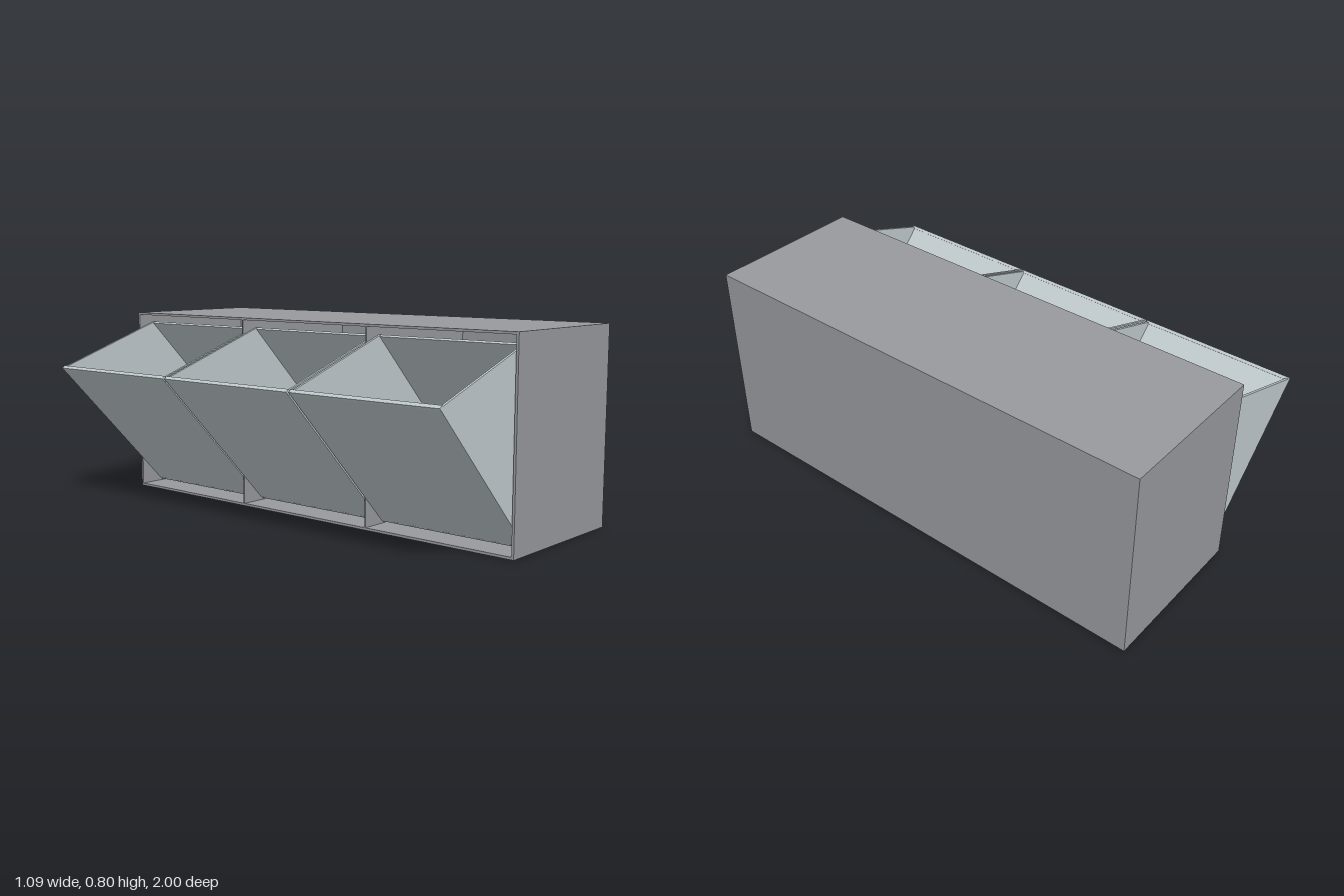
import * as THREE from 'three';

const cabinetGrey = new THREE.MeshStandardMaterial({ color: 0x97999e });
cabinetGrey.name = 'cabinet grey';
const binGrey = new THREE.MeshStandardMaterial({ color: 0xc0cacd });
binGrey.name = 'pale bin grey';

// Box given by its minimum and maximum corners
function panel(name, min, max) {
  const size = max.map((v, i) => v - min[i]);
  const mesh = new THREE.Mesh(new THREE.BoxGeometry(...size), cabinetGrey);
  mesh.position.set(...min.map((v, i) => v + size[i] / 2));
  mesh.name = name;
  return mesh;
}

// Outline in x and y, extruded from z0 to z1
function prism(name, points, z0, z1) {
  const shape = new THREE.Shape(points.map(p => new THREE.Vector2(...p)));
  const geometry = new THREE.ExtrudeGeometry(shape, { depth: z1 - z0, bevelEnabled: false });
  const mesh = new THREE.Mesh(geometry, binGrey);
  mesh.position.z = z0;
  mesh.name = name;
  return mesh;
}

// Flat board from p to q, thickened to the right of that direction
function board(name, p, q, thickness, z0, z1) {
  const length = Math.hypot(q[0] - p[0], q[1] - p[1]);
  const nx = (q[1] - p[1]) / length * thickness;
  const ny = -(q[0] - p[0]) / length * thickness;
  return prism(name, [p, q, [q[0] + nx, q[1] + ny], [p[0] + nx, p[1] + ny]], z0, z1);
}

function makeCabinet() {
  const cabinet = new THREE.Group();
  cabinet.name = 'cabinet';
  const left = -0.11, right = 0.545, height = 0.8, t = 0.01;
  cabinet.add(
    panel('cabinetTop', [left, height - t, -1], [right, height, 1]),
    panel('cabinetBottom', [left, 0, -1], [right, t, 1]),
    panel('cabinetBack', [right - t, t, -1], [right, height - t, 1]),
    panel('endPanel', [left, t, -1], [right - t, height - t, -1 + t]),
    panel('endPanel', [left, t, 1 - t], [right - t, height - t, 1])
  );
  // Partitions between the three compartments
  for (const z of [-0.331, 0.331]) {
    cabinet.add(panel('partition', [left, t, z - 0.003], [right - t, height - t, z + 0.003]));
  }
  return cabinet;
}

// Open-topped bin, tipped out of the cabinet about its lower edge
function makeBin() {
  const bin = new THREE.Group();
  bin.name = 'tiltingBin';
  const half = 0.325, t = 0.01;
  const hinge = [-0.005, 0.018], tip = [-0.541, 0.572];
  const backLow = [0.345, 0.368], backHigh = [-0.036, 0.756];
  const rim = [-0.534, 0.584];
  bin.add(
    board('binDoor', hinge, tip, t, -half, half),
    board('binFloor', backLow, hinge, t, -half + t, half - t),
    board('binBackPanel', backHigh, backLow, t, -half + t, half - t)
  );
  // Side walls
  for (const z of [-half, half - t]) {
    bin.add(prism('binSide', [hinge, backLow, backHigh, rim, tip], z, z + t));
  }
  // Grip lip along the door's free edge
  bin.add(prism('doorLip', [[-0.548, 0.579], [-0.54, 0.569], [-0.527, 0.58], [-0.536, 0.589]], -half, half));
  return bin;
}

export function createModel() {
  const model = new THREE.Group();
  model.name = 'tiltBinCabinet';
  model.add(makeCabinet());
  for (const z of [-0.66, 0, 0.66]) {
    const bin = makeBin();
    bin.position.z = z;
    model.add(bin);
  }
  return model;
}
